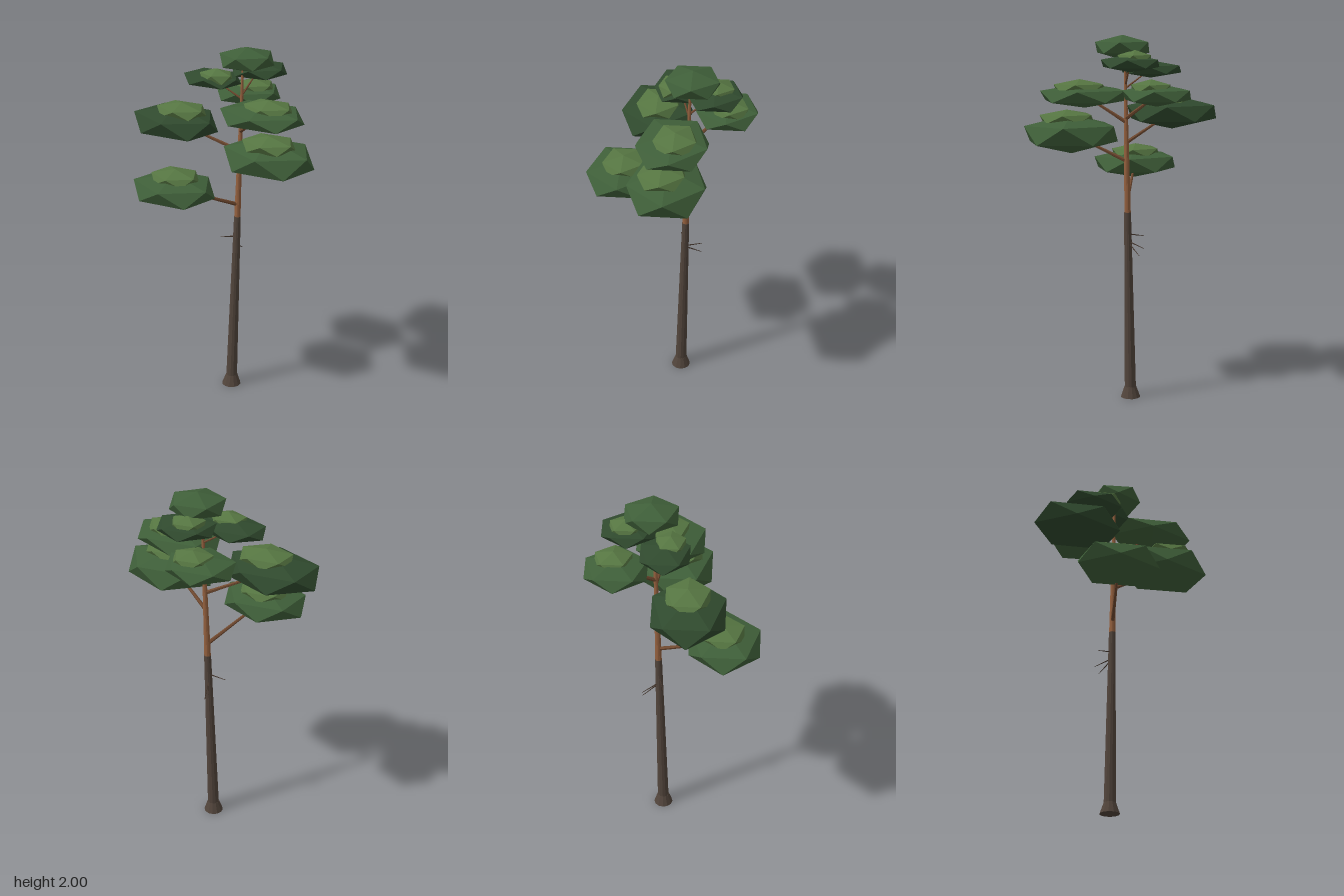
import * as THREE from 'three';

const mat = (color) => new THREE.MeshStandardMaterial({ color, flatShading: true });
const BARK = mat(0x51443b), UPPER = mat(0x94603e), BRANCH = mat(0x70492f), TWIG = mat(0x43352c);
const DARK = mat(0x304a2e), MID = mat(0x3f5f39), LIGHT = mat(0x567642);

// Trunk axis: leans slightly towards +x and -z
const axis = (y) => new THREE.Vector3(-0.024 + 0.0215 * y, y, -0.07 - 0.021 * y);

function add(parent, name, geometry, material) {
  const mesh = new THREE.Mesh(geometry, material);
  mesh.name = name;
  parent.add(mesh);
}

// Sheared vertical section of the trunk with level ends
function trunkSection(y0, y1, r0, r1) {
  const g = new THREE.CylinderGeometry(r1, r0, y1 - y0, 12);
  g.translate(0, (y0 + y1) / 2, 0);
  const p = g.attributes.position;
  for (let i = 0; i < p.count; i++) {
    const c = axis(p.getY(i));
    p.setXYZ(i, p.getX(i) + c.x, p.getY(i), p.getZ(i) + c.z);
  }
  return g;
}

// Tapered straight limb between two points
function limb(a, b, ra, rb) {
  const d = b.clone().sub(a);
  const g = new THREE.CylinderGeometry(rb, ra, d.length(), 6);
  g.applyQuaternion(new THREE.Quaternion().setFromUnitVectors(new THREE.Vector3(0, 1, 0), d.normalize()));
  const m = a.clone().add(b).multiplyScalar(0.5);
  return g.translate(m.x, m.y, m.z);
}

// Flattened icosahedron standing on a corner, fitted to half widths and heights
function padGeometry({ x, z, rx, rz, lo, hi }) {
  return new THREE.IcosahedronGeometry(1, 0)
    .rotateZ(-Math.atan(2 / (1 + Math.sqrt(5))))
    .scale(rx / 0.894, (hi - lo) / 2, rz / 0.851)
    .translate(x, (lo + hi) / 2, z);
}

// Pads: centre, half widths, heights, height where the branch leaves the trunk, cap offset [x, z]
const PADS = [
  { name: 'lowFrontPad', material: MID, x: -0.128, z: 0.268, rx: 0.235, rz: 0.187, lo: 1.19, hi: 1.36, root: 1.12, cap: [0, -0.01] },
  { name: 'lowLeftPad', material: MID, x: 0.29, z: -0.015, rx: 0.255, rz: 0.198, lo: 1.37, hi: 1.58, root: 1.33, cap: [0.02, 0.025] },
  { name: 'lowRightPad', material: DARK, x: -0.295, z: 0.085, rx: 0.255, rz: 0.187, lo: 1.48, hi: 1.665, root: 1.43, cap: [0.04, -0.005] },
  { name: 'midLeftPad', material: MID, x: 0.22, z: -0.037, rx: 0.24, rz: 0.18, lo: 1.615, hi: 1.745, root: 1.54, cap: [0.03, -0.015] },
  { name: 'midBackPad', material: MID, x: -0.11, z: -0.295, rx: 0.183, rz: 0.16, lo: 1.635, hi: 1.755, root: 1.56, cap: [0.035, -0.015] },
  { name: 'highRightPad', material: DARK, x: -0.14, z: -0.042, rx: 0.17, rz: 0.125, lo: 1.77, hi: 1.862, root: 1.72, cap: [0.055, 0.025] },
  { name: 'highBackPad', material: DARK, x: 0.018, z: -0.237, rx: 0.155, rz: 0.138, lo: 1.81, hi: 1.903, root: 1.74, cap: [-0.02, -0.013] },
  { name: 'crownPad', material: MID, x: 0.034, z: -0.123, rx: 0.146, rz: 0.137, lo: 1.87, hi: 2 },
];

export function createModel() {
  const tree = new THREE.Group();
  tree.name = 'pineTree';

  // Trunk: flared foot, dark lower bark, orange upper bark
  add(tree, 'trunkFoot', trunkSection(0, 0.06, 0.054, 0.033), BARK);
  add(tree, 'lowerTrunk', trunkSection(0.05, 1.05, 0.032, 0.019), BARK);
  add(tree, 'upperTrunk', trunkSection(1.05, 1.92, 0.018, 0.006), UPPER);

  // Dead twigs below the crown
  for (const [root, x, y, z] of [[0.93, -0.1, 0.91, -0.06], [0.89, -0.07, 0.865, -0.18], [0.885, -0.045, 0.825, -0.18]]) {
    add(tree, 'deadTwig', limb(axis(root), new THREE.Vector3(x, y, z), 0.004, 0.0015), TWIG);
  }

  // Foliage pads; all but the crown have a lighter cap and a branch
  for (const pad of PADS) {
    const group = new THREE.Group();
    group.name = pad.name;
    tree.add(group);
    add(group, 'foliage', padGeometry(pad), pad.material);
    if (!pad.cap) continue;
    const cap = {
      x: pad.x + pad.cap[0], z: pad.z + pad.cap[1], rx: pad.rx * 0.58, rz: pad.rz * 0.6,
      lo: pad.hi - 0.07, hi: pad.hi + 0.023,
    };
    add(group, 'foliageCap', padGeometry(cap), LIGHT);
    const tip = new THREE.Vector3(pad.x, (pad.lo + pad.hi) / 2, pad.z);
    const r = pad.root > 1.7 ? 0.006 : 0.011;
    add(group, 'branch', limb(axis(pad.root), tip, r, r * 0.5), BRANCH);
  }
  return tree;
}
